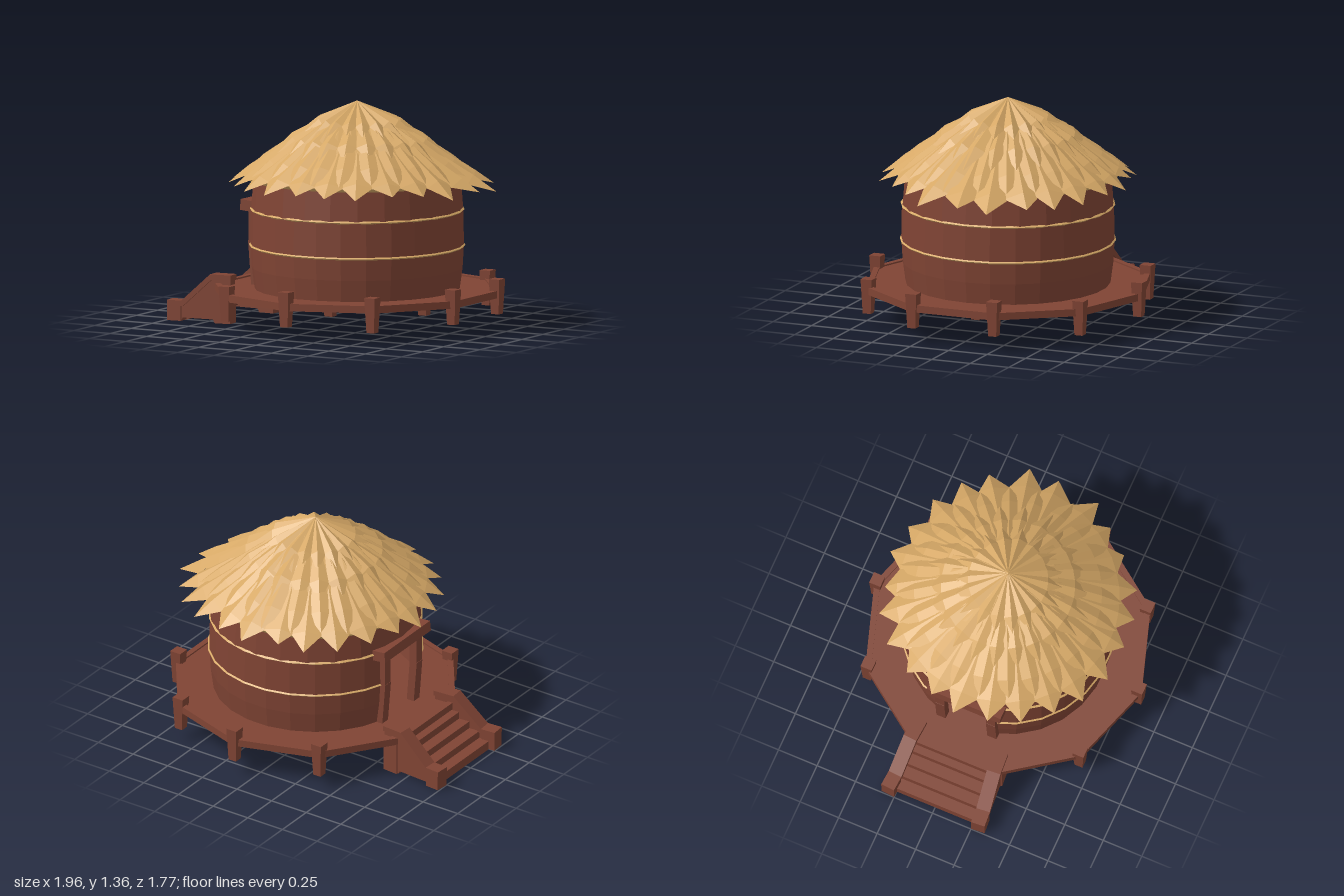
import * as THREE from 'three';

const CX = 0.12; // hut axis
const wood = new THREE.MeshStandardMaterial({ color: 0x804434, flatShading: true, side: THREE.DoubleSide });
wood.name = 'reddish wood';
const straw = new THREE.MeshStandardMaterial({ color: 0xd6a866, flatShading: true, side: THREE.DoubleSide });
straw.name = 'straw';

let seed = 7;
const rand = () => (seed = (seed * 16807) % 2147483647) / 2147483647;

function add(parent, name, geo, mat, x = 0, y = 0, z = 0) {
  const m = new THREE.Mesh(geo, mat);
  m.name = name;
  m.position.set(x, y, z);
  parent.add(m);
  return m;
}

// square tapered post, sides parallel to the axes
function post(parent, name, x, z, y0, y1, top, bottom) {
  const g = new THREE.CylinderGeometry(top * Math.SQRT1_2, bottom * Math.SQRT1_2, y1 - y0, 4);
  g.rotateY(Math.PI / 4);
  return add(parent, name, g, wood, x, (y0 + y1) / 2, z);
}

// surface of revolution, optionally leaving a gap on the -x side
function ring(points, gap, segments = 24) {
  return new THREE.LatheGeometry(points.map(p => new THREE.Vector2(...p)), segments,
    Math.PI * 1.5 + gap, Math.PI * 2 - 2 * gap);
}

// height of the thatch at a given radius
const slope = [[0, 1.345], [0.3, 1.195], [0.6, 0.965], [0.9, 0.775]];
function roofY(r) {
  let i = 0;
  while (i < slope.length - 2 && r > slope[i + 1][0]) i++;
  const [a, b] = [slope[i], slope[i + 1]];
  return a[1] + (b[1] - a[1]) * (r - a[0]) / (b[0] - a[0]);
}

// one tier of ridged, pointed straw leaves
function thatchTier(count, r0, rWide, rTip, lift, offset) {
  const out = [];
  for (let i = 0; i < count; i++) {
    const a = (i + offset) / count * Math.PI * 2;
    const wind = Math.pow(Math.max(0, Math.cos(a + 0.2)), 6) * (r0 > 0.3 ? 1 : 0.5);
    const jitter = (rand() - 0.5) * 0.05;
    const half = Math.PI / count * 1.08;
    const P = (r, da, up) => [Math.cos(a + da) * r, roofY(r) + up, Math.sin(a + da) * r];
    const rw = rWide + wind * 0.05, rt = rTip + jitter + wind * 0.1;
    const T = P(r0, 0, lift), L = P(rw, -half, lift - 0.006), R = P(rw, half, lift - 0.006);
    const M = P(rw, jitter, lift + 0.02 + wind * 0.02), E = P(rt, jitter * 1.5, lift + wind * 0.035);
    out.push(...T, ...M, ...L, ...T, ...R, ...M, ...L, ...M, ...E, ...M, ...R, ...E);
  }
  const g = new THREE.BufferGeometry();
  g.setAttribute('position', new THREE.Float32BufferAttribute(out, 3));
  g.computeVertexNormals();
  return g;
}

function buildPlatform() {
  const g = new THREE.Group();
  g.name = 'platform';
  add(g, 'deck', new THREE.CylinderGeometry(0.845, 0.845, 0.03, 10), wood, 0, 0.217, 0);
  const R = 0.85, edge = 2 * R * Math.sin(Math.PI / 10), inR = R * Math.cos(Math.PI / 10);
  for (let i = 0; i < 10; i++) {
    const v = Math.PI / 2 + i * Math.PI / 5, m = v + Math.PI / 10;
    // rim beam along each edge
    const b = add(g, 'rimBeam', new THREE.BoxGeometry(0.035, 0.044, edge + 0.01), wood,
      Math.cos(m) * inR, 0.219, Math.sin(m) * inR);
    b.rotation.y = -m;
    // corner posts, left out where the stairs join
    const c = Math.cos(v);
    if (c < -0.9) continue;
    const drop = Math.abs(Math.abs(c) - 0.588) < 0.1 ? 0.02 : 0;
    post(g, 'cornerPost', c * R, Math.sin(v) * R, 0.1 - drop, 0.31 - drop, 0.072, 0.052);
  }
  // inner supports below the deck
  for (const [x, z] of [[0.46, 0], [-0.34, 0], [0, 0.32], [0, -0.32]])
    post(g, 'innerSupport', x, z, 0.1, 0.21, 0.07, 0.052);
  g.position.x = CX;
  return g;
}

function buildHut() {
  const g = new THREE.Group();
  g.name = 'hut';
  const gap = 0.25;
  add(g, 'lowerWall', ring([[0.61, 0.225], [0.628, 0.36], [0.636, 0.5], [0.632, 0.7]], gap), wood);
  add(g, 'upperWall', ring([[0.632, 0.7], [0.614, 0.93]], 0), wood);
  for (const [y, r] of [[0.492, 0.634], [0.708, 0.629]])
    add(g, 'ropeBand', ring([[r, y - 0.009], [r + 0.011, y], [r, y + 0.009]], gap, 24), straw);
  // door frame: curved jambs and a projecting lintel
  for (const s of [-1, 1]) {
    const low = add(g, 'doorJamb', new THREE.BoxGeometry(0.05, 0.28, 0.06), wood, -0.601, 0.36, s * 0.165);
    low.rotation.z = 0.08;
    add(g, 'doorJamb', new THREE.BoxGeometry(0.05, 0.22, 0.06), wood, -0.61, 0.59, s * 0.165);
  }
  const lintel = add(g, 'lintel', new THREE.BoxGeometry(0.1, 0.065, 0.48), wood, -0.615, 0.71, 0);
  lintel.rotation.z = -0.1;
  g.position.x = CX;
  return g;
}

function buildRoof() {
  const g = new THREE.Group();
  g.name = 'roof';
  // under-roof shell with a closed eave
  add(g, 'roofShell', ring([[0, 0.9], [0.66, 0.895], [0.675, 0.915], [0.6, 0.955], [0.3, 1.185], [0, 1.335]], 0, 28), straw);
  add(g, 'eaveThatch', thatchTier(24, 0.42, 0.665, 0.76, 0.004, 0), straw);
  add(g, 'lowerThatch', thatchTier(24, 0.28, 0.56, 0.66, 0.012, 0.5), straw);
  add(g, 'middleThatch', thatchTier(22, 0.12, 0.4, 0.5, 0.014, 0.2), straw);
  add(g, 'topThatch', thatchTier(18, 0, 0.24, 0.33, 0.012, 0.6), straw);
  g.position.x = CX;
  return g;
}

function extrude(points, depth) {
  const s = new THREE.Shape(points.map(p => new THREE.Vector2(...p)));
  const geo = new THREE.ExtrudeGeometry(s, { depth, bevelEnabled: false });
  return geo.translate(0, 0, -depth / 2);
}

function buildStairs() {
  const g = new THREE.Group();
  g.name = 'stairs';
  const side = [[-0.99, 0], [-0.91, 0], [-0.9, 0.02], [-0.7, 0.02], [-0.69, 0], [-0.585, 0],
    [-0.585, 0.275], [-0.71, 0.275], [-0.9, 0.105], [-0.99, 0.105]];
  const cap = [[-1, 0.09], [-0.895, 0.09], [-0.705, 0.26], [-0.58, 0.26],
    [-0.58, 0.292], [-0.715, 0.292], [-0.905, 0.122], [-1, 0.122]];
  for (const s of [-1, 1]) {
    const rail = new THREE.Group();
    rail.name = 'stairSide';
    add(rail, 'stringer', extrude(side, 0.065), wood);
    add(rail, 'handrailCap', extrude(cap, 0.085), wood);
    // newel feet
    add(rail, 'foot', new THREE.BoxGeometry(0.09, 0.1, 0.085), wood, -0.953, 0.05, 0);
    add(rail, 'foot', new THREE.BoxGeometry(0.1, 0.2, 0.085), wood, -0.633, 0.1, 0);
    // the sides splay outward toward the bottom
    g.add(rail);
    rail.rotation.y = s * 0.075;
    rail.position.z = s * 0.218;
  }
  // treads cut as one stepped block with a sloping underside
  const steps = [[-0.96, 0]];
  for (let i = 0; i < 4; i++) {
    const x = -0.96 + i * 0.07, y = 0.055 + i * 0.045;
    steps.push([x, y], [x + 0.07, y]);
  }
  steps.push([-0.68, 0.225], [-0.6, 0.225], [-0.6, 0.17], [-0.9, 0]);
  add(g, 'treads', extrude(steps, 0.5), wood);
  return g;
}

export function createModel() {
  const model = new THREE.Group();
  model.name = 'thatchedHut';
  model.add(buildPlatform(), buildHut(), buildRoof(), buildStairs());
  return model;
}
